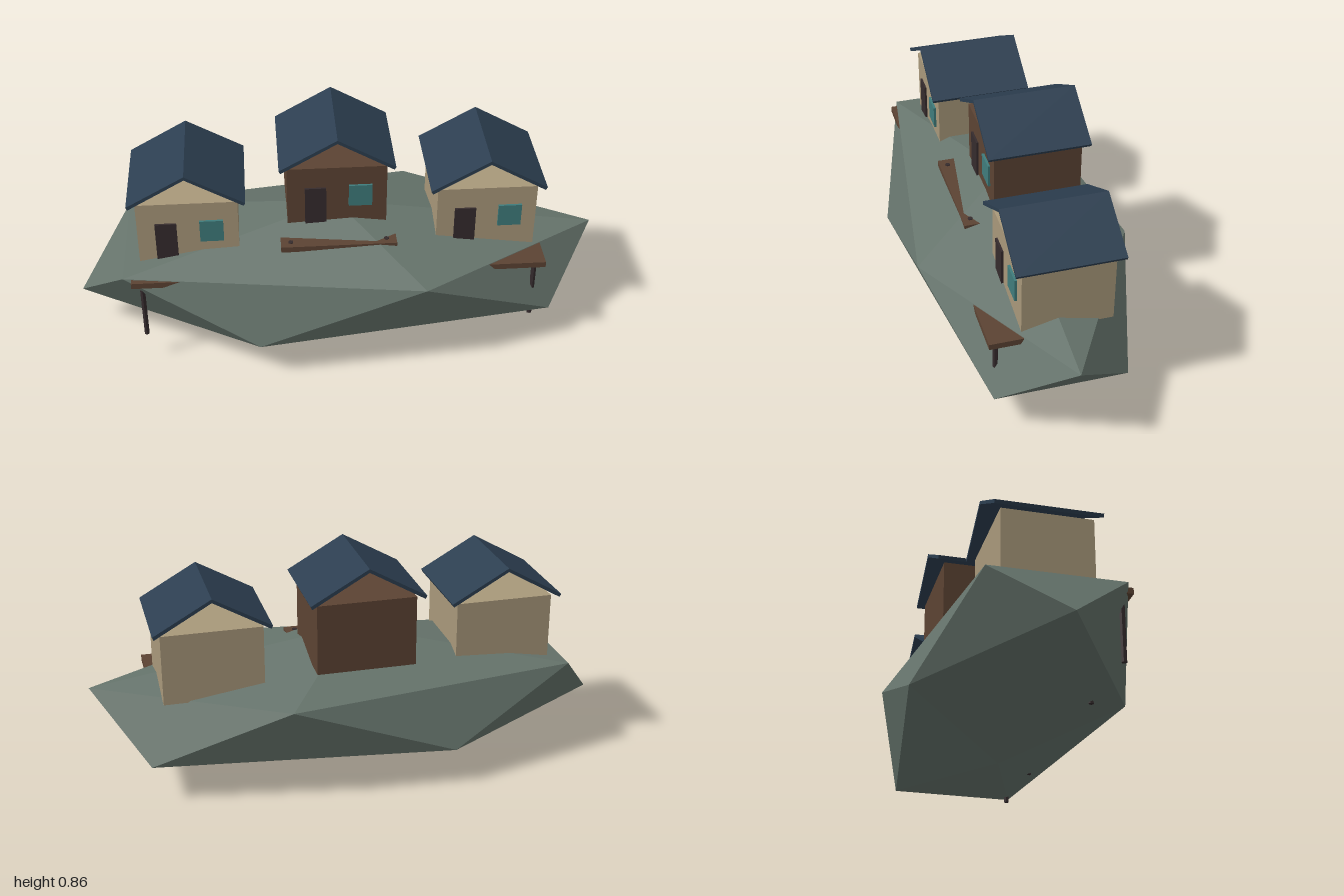
import * as THREE from 'three';

const mat = (name, color) => {
  const m = new THREE.MeshStandardMaterial({ color, flatShading: true });
  m.name = name;
  return m;
};

export function createModel() {
  const stone = mat('mossy stone', 0x66746c);
  const plaster = mat('tan plaster', 0xa8987a);
  const timber = mat('brown timber', 0x5c4333);
  const slate = mat('blue slate', 0x2c3e50);
  const darkWood = mat('dark wood', 0x352b2d);
  const glass = mat('teal glass', 0x3f7c7c);

  const model = new THREE.Group();
  model.name = 'islandVillage';

  const add = (parent, name, geometry, material, x = 0, y = 0, z = 0) => {
    const mesh = new THREE.Mesh(geometry, material);
    mesh.name = name;
    mesh.position.set(x, y, z);
    parent.add(mesh);
    return mesh;
  };

  // Island: two staggered pentagon rings between a top and a bottom point
  const ring = (y, turn) => Array.from({ length: 5 }, (_, i) => {
    const a = turn + i * Math.PI * 2 / 5;
    return [Math.cos(a), y, 0.42 * Math.sin(a)];
  });
  const upper = ring(0.376, 0), lower = ring(0.145, Math.PI / 5);
  const top = [0, 0.52, 0], bottom = [0, 0, 0];
  const corners = [];
  for (let i = 0; i < 5; i++) {
    const j = (i + 1) % 5;
    corners.push(top, upper[j], upper[i]);
    corners.push(upper[i], upper[j], lower[i]);
    corners.push(lower[i], upper[j], lower[j]);
    corners.push(lower[i], lower[j], bottom);
  }
  const rock = new THREE.BufferGeometry();
  rock.setAttribute('position', new THREE.Float32BufferAttribute(corners.flat(), 3));
  rock.computeVertexNormals();
  add(model, 'rockIsland', rock, stone);

  // Thin open gable roof, two slopes meeting at the ridge
  const chevron = new THREE.Shape([
    [-0.217, 0.282], [-0.211, 0.27], [0, 0.391], [0.211, 0.27], [0.217, 0.282], [0, 0.405],
  ].map(([x, y]) => new THREE.Vector2(x, y)));
  const roof = new THREE.ExtrudeGeometry(chevron, { depth: 0.39, bevelEnabled: false });
  roof.translate(0, 0, -0.195);

  const body = new THREE.BoxGeometry(0.375, 0.27, 0.335);
  const door = new THREE.BoxGeometry(0.08, 0.185, 0.009);
  const pane = new THREE.BoxGeometry(0.088, 0.09, 0.009);
  const deck = new THREE.BoxGeometry(0.435, 0.023, 0.123);

  // One house with its deck and the two posts under it
  function house(name, x, y, z, wall, postTop) {
    const g = new THREE.Group();
    g.name = name;
    g.position.set(x, y, z);
    add(g, 'walls', body, wall, 0, 0.135, 0);
    add(g, 'roof', roof, slate);
    add(g, 'door', door, darkWood, -0.081, 0.0925, 0.171);
    add(g, 'window', pane, glass, 0.088, 0.148, 0.172);
    add(g, 'deck', deck, timber, 0, -0.0075, 0.2275);
    const length = postTop + 0.26;
    const post = new THREE.CylinderGeometry(0.01, 0.01, length, 6);
    for (const s of [-1, 1]) {
      add(g, 'deckPost', post, darkWood, s * 0.18, postTop - length / 2, 0.258);
    }
    model.add(g);
  }
  house('rightHouse', -0.56, 0.37, -0.0125, plaster, -0.01);
  house('middleHouse', 0, 0.45, -0.09, timber, 0.007);
  house('leftHouse', 0.56, 0.37, -0.034, plaster, -0.01);

  return model;
}
